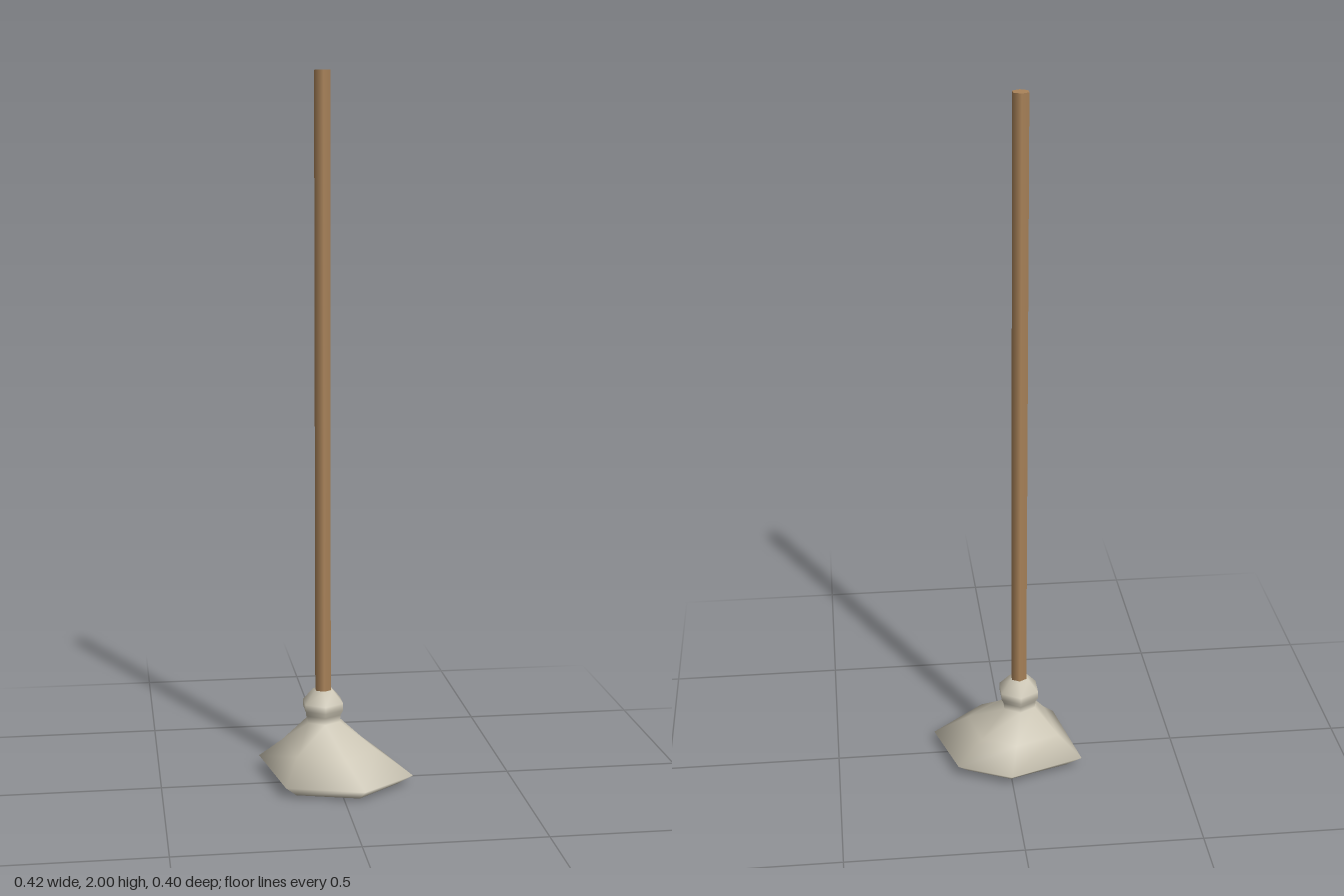
import * as THREE from 'three';

const CX = -0.035, CZ = -0.026; // handle axis
const SIDES = 6;

// Six-sided ring around the handle axis
function hexRing(radius, y) {
  return Array.from({ length: SIDES }, (_, i) => {
    const a = (i / SIDES) * Math.PI * 2;
    return [CX + Math.sin(a) * radius, y, CZ + Math.cos(a) * radius];
  });
}

// Ring blended between two others, at its own height
function blendRing(a, b, t, y) {
  return a.map((p, i) => [p[0] + (b[i][0] - p[0]) * t, y, p[2] + (b[i][2] - p[2]) * t]);
}

// Smooth closed skin over rings listed from bottom to top
function loft(rings) {
  const index = [];
  for (let r = 0; r < rings.length - 1; r++) {
    for (let i = 0; i < SIDES; i++) {
      const a = r * SIDES + i, b = r * SIDES + (i + 1) % SIDES;
      index.push(a, b, b + SIDES, a, b + SIDES, a + SIDES);
    }
  }
  const top = (rings.length - 1) * SIDES;
  for (let i = 1; i < SIDES - 1; i++) {
    index.push(0, i + 1, i);
    index.push(top, top + i, top + i + 1);
  }
  const geometry = new THREE.BufferGeometry();
  geometry.setAttribute('position', new THREE.Float32BufferAttribute(rings.flat(2), 3));
  geometry.setIndex(index);
  geometry.computeVertexNormals();
  return geometry;
}

export function createModel() {
  const wood = new THREE.MeshStandardMaterial({ color: 0xab845a });
  wood.name = 'wood';
  const cloth = new THREE.MeshStandardMaterial({ color: 0xcbc5b4 });
  cloth.name = 'cloth';

  const group = new THREE.Group();
  group.name = 'mop';

  // Long six-sided handle
  const handle = new THREE.Mesh(new THREE.CylinderGeometry(0.024, 0.024, 1.78, SIDES), wood);
  handle.name = 'handle';
  handle.position.set(CX, 1.11, CZ);
  group.add(handle);

  // Uneven spread of the mop head, flat below and gathered into a collar
  const rim = [
    [0.055, 0.035, 0.198], [0.21, 0.03, 0.07], [0.153, 0.035, -0.13],
    [0.003, 0.035, -0.2], [-0.21, 0.04, -0.13], [-0.16, 0.035, 0.137],
  ];
  const base = rim.map(([x, , z]) => [x * 0.8, 0.003, z * 0.8]);
  const neck = hexRing(0.052, 0.175);
  const head = new THREE.Mesh(loft([
    base,
    rim,
    blendRing(rim, neck, 0.5, 0.1),
    neck,
    hexRing(0.054, 0.195),
    hexRing(0.062, 0.21),
    hexRing(0.062, 0.23),
    hexRing(0.03, 0.265),
  ]), cloth);
  head.name = 'mopHead';
  group.add(head);

  return group;
}
